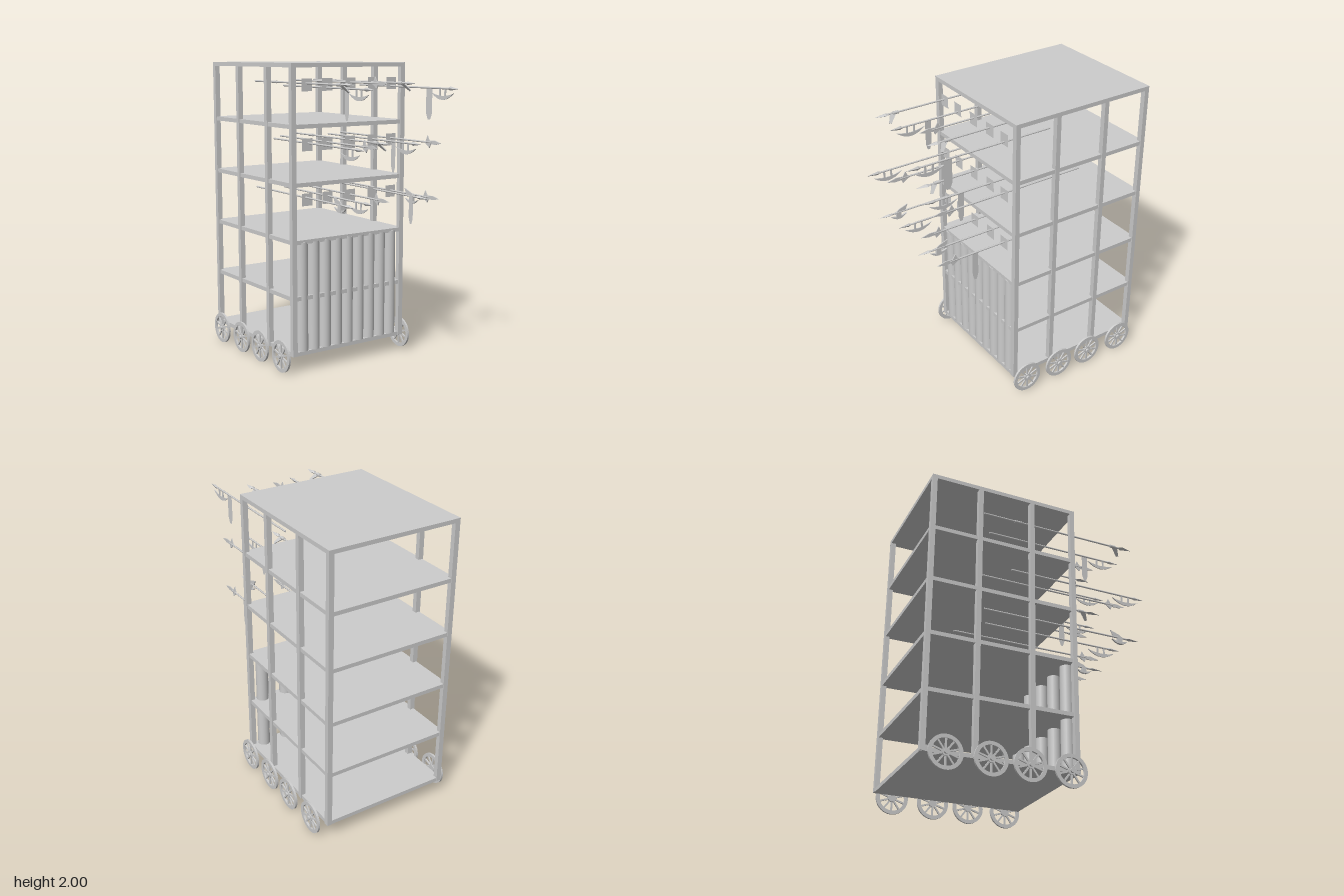
import * as THREE from 'three';

const grey = new THREE.MeshStandardMaterial({ color: 0xcccccc, flatShading: true });
const smooth = new THREE.MeshStandardMaterial({ color: 0xcccccc });
const thin = new THREE.MeshStandardMaterial({ color: 0xcccccc, side: THREE.DoubleSide });

function add(parent, name, geo, mat = grey, x = 0, y = 0, z = 0) {
  const m = new THREE.Mesh(geo, mat);
  m.name = name;
  m.position.set(x, y, z);
  parent.add(m);
  return m;
}

const box = (w, h, d) => new THREE.BoxGeometry(w, h, d);
const outline = pts => new THREE.Shape(pts.map(p => new THREE.Vector2(p[0], p[1])));

// Flat blade drawn as (z, y) points, given a small thickness along x
function blade(shape, t = 0.006) {
  const g = new THREE.ExtrudeGeometry(shape, { depth: t, bevelEnabled: false, curveSegments: 8 });
  return g.translate(0, 0, -t / 2).rotateY(-Math.PI / 2);
}

// Four-sided leaf spearhead with its tip at z = 0
function spearhead(length, width, height) {
  const pts = [[0, -length], [0.3, -length], [0.25, -length * 0.8], [1, -length * 0.6], [0, 0]];
  const g = new THREE.LatheGeometry(pts.map(p => new THREE.Vector2(p[0], p[1])), 4);
  return g.rotateX(Math.PI / 2).scale(width / 2, height / 2, 1);
}

function shaft(parent, length) {
  const g = new THREE.CylinderGeometry(0.006, 0.006, length, 8).rotateX(Math.PI / 2);
  add(parent, 'shaft', g, smooth, 0, 0, -0.09 - length / 2);
}

// Crescent shape hanging below the shaft
function crescent(half, top, depth) {
  const s = new THREE.Shape();
  s.moveTo(-half, top);
  s.quadraticCurveTo(0, top - depth * 2, half, top);
  s.quadraticCurveTo(0, top - depth * 0.8, -half, top);
  return s;
}

const builders = {
  // Spear with a crescent blade on two stubs
  halberd(g) {
    shaft(g, 0.92);
    add(g, 'spearhead', spearhead(0.13, 0.016, 0.026));
    add(g, 'crescentBlade', blade(crescent(0.1, -0.03, 0.042)), grey, 0, 0, -0.15);
    for (const z of [-0.175, -0.125]) add(g, 'bladeStub', box(0.006, 0.05, 0.012), grey, 0, -0.026, z);
  },
  // Broad leaf spear with a hook rolled to one side
  hookSpear(g) {
    shaft(g, 1.04);
    add(g, 'spearhead', spearhead(0.13, 0.042, 0.022));
    const hook = blade(outline([[-0.16, 0], [-0.11, 0.005], [-0.085, 0.055], [-0.1, 0.062], [-0.13, 0.03]]));
    add(g, 'hook', hook).rotation.z = -2.5;
    add(g, 'collar', new THREE.CylinderGeometry(0.011, 0.011, 0.04, 8).rotateX(Math.PI / 2), smooth, 0, 0, -0.15);
    add(g, 'buttCap', new THREE.CylinderGeometry(0.009, 0.009, 0.05, 8).rotateX(Math.PI / 2), smooth, 0, 0, -0.88);
  },
  // Long flat blade with a small back hook
  glaive(g) {
    shaft(g, 1.0);
    add(g, 'glaiveBlade', blade(outline([[0, 0], [-0.06, 0.014], [-0.11, 0.01], [-0.13, 0.042],
      [-0.145, 0.008], [-0.18, 0], [-0.145, -0.01], [-0.11, -0.035], [-0.1, -0.012], [-0.05, -0.012]])));
  },
  // Axe with a blade above and a claw below
  poleAxe(g) {
    shaft(g, 1.05);
    add(g, 'spearhead', spearhead(0.13, 0.03, 0.022));
    add(g, 'axeBlade', blade(crescent(0.06, -0.018, 0.03), 0.012), grey, 0, 0, -0.15);
    add(g, 'axeSocket', box(0.018, 0.05, 0.035), grey, 0, -0.02, -0.15);
    add(g, 'backClaw', blade(outline([[-0.2, 0], [-0.13, 0], [-0.15, 0.02], [-0.22, 0.045]])));
  },
};

// Paper-thin pennant with a pointed foot
function pennant(g, width) {
  const w = width / 2;
  const s = outline([[-w, 0], [-w, -0.16], [-w * 0.4, -0.2], [w * 0.4, -0.2], [w, -0.16], [w, 0]]);
  add(g, 'pennant', new THREE.ShapeGeometry(s).rotateY(-Math.PI / 2), thin, 0, 0, -0.275);
}

// Spoked wheel, axle along x, outer face toward +x
function wheel() {
  const g = new THREE.Group();
  g.name = 'wheel';
  const R = 0.107, t = 0.014;
  const rim = new THREE.Shape().absarc(0, 0, R, 0, Math.PI * 2);
  rim.holes.push(new THREE.Path().absarc(0, 0, R * 0.78, 0, Math.PI * 2, true));
  add(g, 'rim', new THREE.ExtrudeGeometry(rim, { depth: t, bevelEnabled: false, curveSegments: 24 })
    .translate(0, 0, -t / 2).rotateY(Math.PI / 2));
  for (let i = 0; i < 10; i++) {
    const spoke = box(0.009, 0.072, 0.011).translate(0, 0.052, 0);
    add(g, 'spoke', spoke).rotation.x = i * Math.PI / 5;
  }
  add(g, 'hub', new THREE.CylinderGeometry(0.026, 0.026, 0.018, 16).rotateZ(Math.PI / 2));
  add(g, 'axleCap', new THREE.CylinderGeometry(0.014, 0.014, 0.03, 12).rotateZ(Math.PI / 2), grey, 0.006);
  return g;
}

export function createModel() {
  const model = new THREE.Group();
  model.name = 'siegeTower';
  const front = 0.17, back = -0.855, midZ = (front + back) / 2, depth = front - back;

  // Floors and roof
  [0.125, 0.495, 0.865, 1.235, 1.605].forEach(y =>
    add(model, 'floor', box(0.89, 0.027, depth - 0.008), grey, 0, y, midZ));
  add(model, 'roof', box(0.904, 0.027, depth), grey, 0, 1.9865, midZ);

  // Corner and side posts
  for (const side of [-1, 1]) {
    for (const z of [0.1535, -0.145, -0.515, -0.8385])
      add(model, 'post', box(0.035, 1.887, 0.032), grey, side * 0.4345, 1.0565, z);
    // Wheels
    for (const z of [0.085, -0.185, -0.435, -0.715]) {
      const w = wheel();
      w.position.set(side * 0.492, 0.107, z);
      if (side < 0) w.rotation.y = Math.PI;
      model.add(w);
    }
  }

  // Front palisade: round logs with open front-facing shells between them
  for (let i = 0; i < 9; i++) {
    const shell = i % 2 === 1;
    const geo = shell
      ? new THREE.CylinderGeometry(0.042, 0.042, 0.725, 12, 1, true, -Math.PI / 2, Math.PI)
      : new THREE.CylinderGeometry(0.042, 0.042, 0.725, 20);
    add(model, shell ? 'palisadeShell' : 'palisadeLog', geo, smooth, (i - 4) * 0.09, 0.5, 0.131);
  }

  // Weapons: kind, x, shaft y, tip z, pennant width
  const weapons = [
    ['hookSpear', -0.345, 1.875, 0.68], ['halberd', -0.187, 1.845, 0.665, 0.042], ['glaive', 0, 1.875, 0.56],
    ['hookSpear', 0.17, 1.875, 0.62], ['halberd', 0.328, 1.845, 0.84, 0.058],
    ['halberd', -0.33, 1.5, 0.77], ['glaive', -0.185, 1.5, 0.7], ['hookSpear', -0.005, 1.505, 0.6],
    ['halberd', 0.182, 1.5, 0.665, 0.042], ['glaive', 0.333, 1.5, 0.68],
    ['poleAxe', -0.35, 1.155, 0.7], ['halberd', -0.177, 1.15, 0.65], ['glaive', 0, 1.145, 0.58],
    ['poleAxe', 0.192, 1.165, 0.72], ['glaive', 0.335, 1.145, 0.665, 0.042],
  ];
  for (const [kind, x, y, z, flag] of weapons) {
    const g = new THREE.Group();
    g.name = kind;
    builders[kind](g);
    if (flag) pennant(g, flag);
    g.position.set(x, y, z);
    model.add(g);
  }

  // Square port plates behind the weapons
  for (const y of [1.865, 1.49, 1.14])
    for (const x of [-0.338, -0.183, -0.003, 0.18, 0.333])
      add(model, 'portPlate', new THREE.PlaneGeometry(0.08, 0.08), smooth, x, y, 0.172);

  return model;
}
